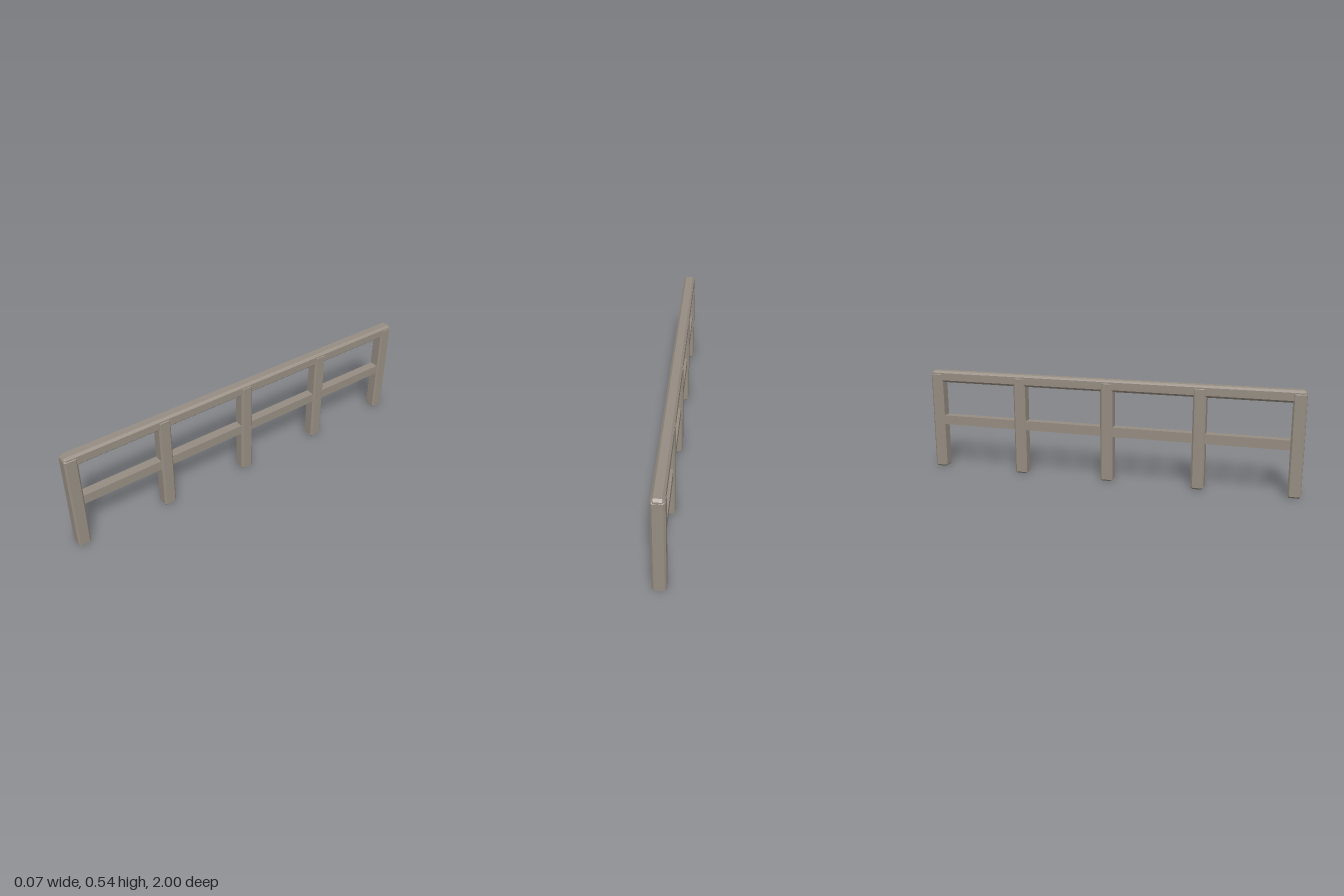
import * as THREE from 'three';
import { ConvexGeometry } from 'three/addons/geometries/ConvexGeometry.js';

// Box with chamfered edges and corners, centred on the origin
function chamferedBox(w, h, d, c) {
  const points = [];
  for (const sx of [-1, 1]) for (const sy of [-1, 1]) for (const sz of [-1, 1]) {
    const x = w / 2, y = h / 2, z = d / 2;
    points.push(
      new THREE.Vector3(sx * x, sy * (y - c), sz * (z - c)),
      new THREE.Vector3(sx * (x - c), sy * y, sz * (z - c)),
      new THREE.Vector3(sx * (x - c), sy * (y - c), sz * z)
    );
  }
  return new ConvexGeometry(points);
}

export function createModel() {
  const group = new THREE.Group();
  const wood = new THREE.MeshStandardMaterial({ color: 0x968d82 });
  wood.name = 'weathered wood';

  const add = (name, geometry, y, z = 0) => {
    const mesh = new THREE.Mesh(geometry, wood);
    mesh.name = name;
    mesh.position.set(0, y, z);
    group.add(mesh);
  };

  // Five evenly spaced posts
  const postHeight = 0.53;
  const postGeometry = chamferedBox(0.066, postHeight, 0.066, 0.009);
  for (let i = -2; i <= 2; i++) add(`post${i + 3}`, postGeometry, postHeight / 2, i * 0.4835);

  // Chamfered handrail over the posts
  add('topRail', chamferedBox(0.06, 0.062, 1.998, 0.011), 0.511);

  // Plain middle rail running through the posts
  add('middleRail', new THREE.BoxGeometry(0.047, 0.05, 1.94), 0.268);

  return group;
}
